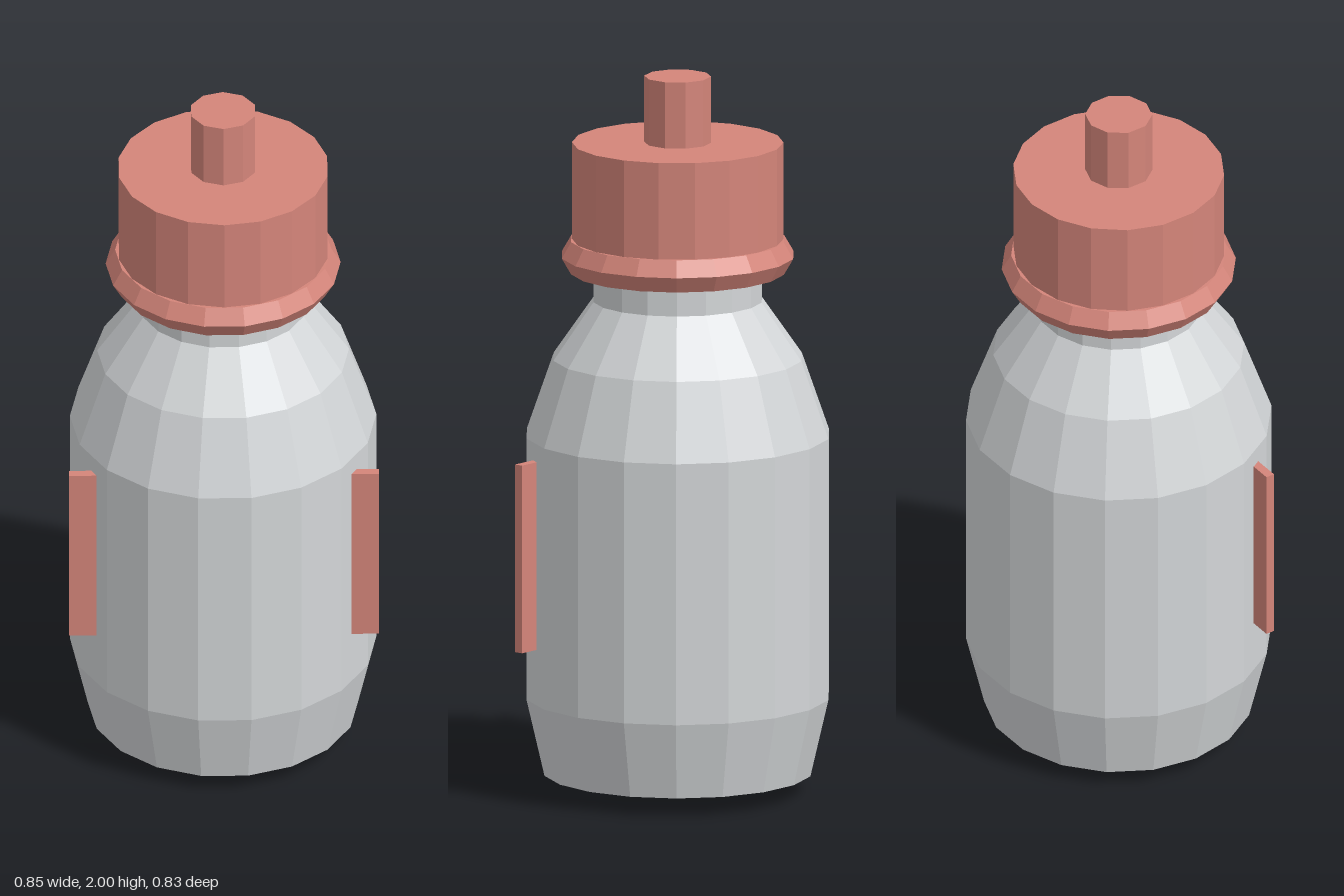
import * as THREE from 'three';

export function createModel() {
  const group = new THREE.Group();
  const glass = new THREE.MeshStandardMaterial({ color: 0xd3d6d8, flatShading: true });
  glass.name = 'paleGrey';
  const red = new THREE.MeshStandardMaterial({ color: 0xd4857a, flatShading: true });
  red.name = 'softRed';

  const add = (name, geometry, material, x = 0, y = 0, z = 0) => {
    const mesh = new THREE.Mesh(geometry, material);
    mesh.name = name;
    mesh.position.set(x, y, z);
    group.add(mesh);
    return mesh;
  };

  // Faceted bottle with a small vent hole in its pointed base
  const profile = [
    [0.024, 0.004], [0.37, 0.055], [0.42, 0.27], [0.42, 1.0],
    [0.345, 1.215], [0.234, 1.375], [0.234, 1.47],
  ].map(([r, y]) => new THREE.Vector2(r, y));
  add('bottleBody', new THREE.LatheGeometry(profile, 18, Math.PI / 2), glass);

  // Cap with its collar ring and top nozzle
  add('cap', new THREE.CylinderGeometry(0.29, 0.29, 0.36, 18), red, 0, 1.635, 0);
  add('collarRing', new THREE.TorusGeometry(0.27, 0.052, 6, 18), red, 0, 1.5, 0).rotation.x = Math.PI / 2;
  add('nozzle', new THREE.CylinderGeometry(0.092, 0.092, 0.2, 10), red, 0, 1.9, 0);

  // Upright grip fins, one on each side
  for (const [name, side] of [['leftFin', 1], ['rightFin', -1]]) {
    add(name, new THREE.BoxGeometry(0.115, 0.525, 0.025), red, side * 0.3675, 0.6875, 0.21);
  }
  return group;
}
